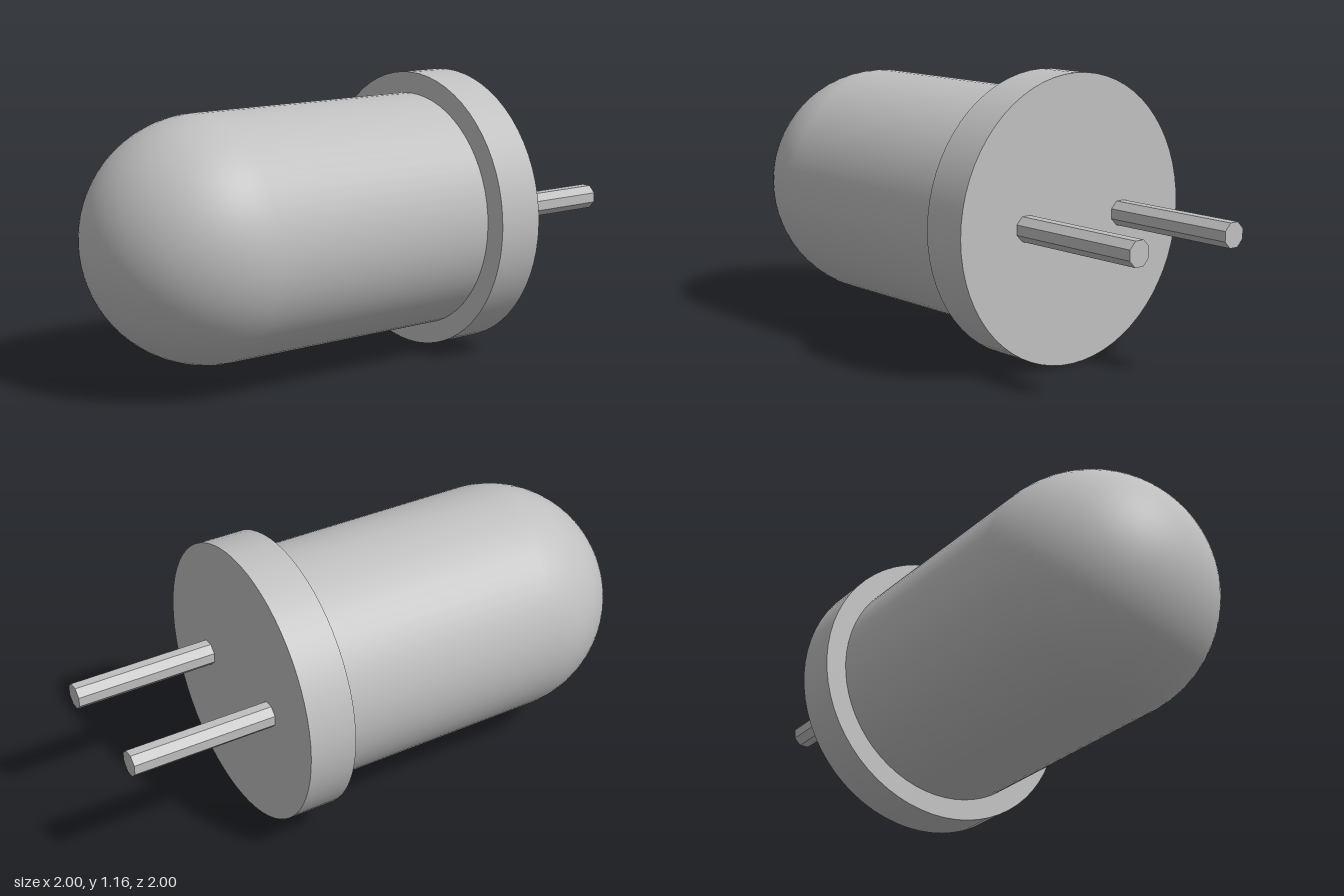
import * as THREE from 'three';

export function createModel() {
  const model = new THREE.Group();
  const grey = new THREE.MeshStandardMaterial({ color: 0xc0c0c0 });
  grey.name = 'grey';
  const leadGrey = grey.clone();
  leadGrey.name = 'grey faceted';
  leadGrey.flatShading = true;

  // Local frame: y runs from dome to leads, x spreads the leads, z is up
  const lamp = new THREE.Group();
  lamp.name = 'lamp';
  const s = Math.SQRT1_2;
  lamp.quaternion.setFromRotationMatrix(new THREE.Matrix4().makeBasis(
    new THREE.Vector3(s, 0, s), new THREE.Vector3(s, 0, -s), new THREE.Vector3(0, 1, 0)));
  lamp.position.set(-0.509, 0.58, 0.507);
  model.add(lamp);

  const add = (name, geometry, material, x = 0, y = 0) => {
    const mesh = new THREE.Mesh(geometry, material);
    mesh.name = name;
    mesh.position.set(x, y, 0);
    lamp.add(mesh);
  };

  const radius = 0.492, flangeStart = 1.028, flangeEnd = 1.226, leadEnd = 1.827;

  // Rounded lens and straight body
  add('dome', new THREE.SphereGeometry(radius, 64, 24, 0, Math.PI * 2, Math.PI / 2, Math.PI / 2), grey);
  add('body', new THREE.CylinderGeometry(radius, radius, flangeStart, 64, 1, true), grey, 0, flangeStart / 2);

  // Wide disc at the base
  add('flange', new THREE.CylinderGeometry(0.58, 0.58, flangeEnd - flangeStart, 64), grey,
    0, (flangeStart + flangeEnd) / 2);

  // Two eight-sided leads with a flat facing up
  for (const side of [-1, 1]) {
    const lead = new THREE.CylinderGeometry(0.053, 0.053, leadEnd - flangeEnd, 8).rotateY(Math.PI / 8);
    add(side > 0 ? 'leftLead' : 'rightLead', lead, leadGrey, side * 0.253, (flangeEnd + leadEnd) / 2);
  }
  return model;
}
